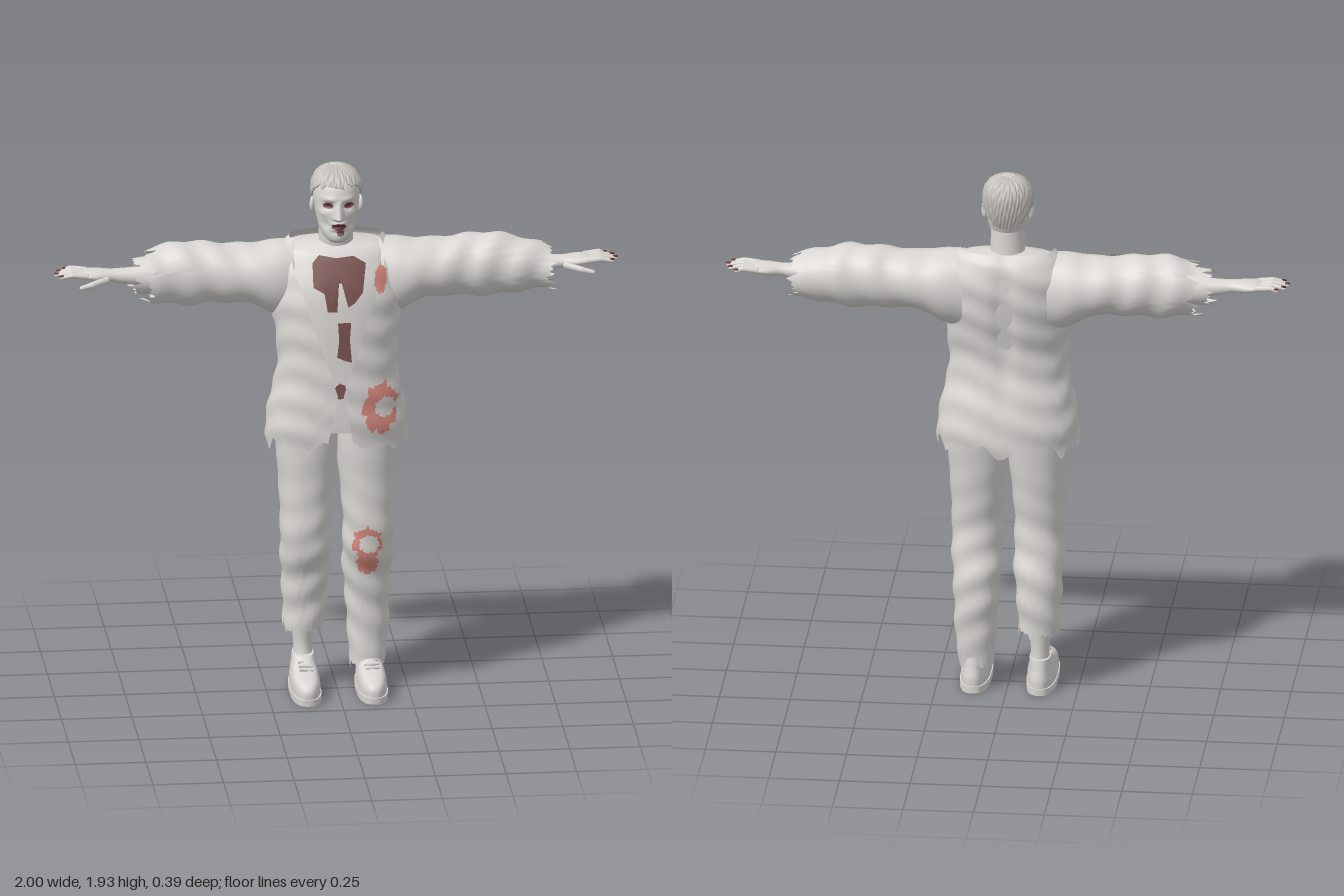
import * as THREE from 'three';

const mat = (name, color) => new THREE.MeshStandardMaterial({ name, color, side: THREE.DoubleSide });

// Smoothly interpolated cross-section; table rows are [y, xMin, xMax, zMin, zMax]
function sectionAt(sec, y) {
  const last = sec.length - 1;
  let i = 0;
  while (i < last - 1 && y > sec[i + 1][0]) i++;
  const a = sec[i], b = sec[i + 1], h = b[0] - a[0];
  const t = THREE.MathUtils.clamp((y - a[0]) / h, 0, 1), t2 = t * t, t3 = t2 * t;
  const slope = (k, c) => {
    const p = sec[Math.max(k - 1, 0)], q = sec[Math.min(k + 1, last)];
    return (q[c] - p[c]) / (q[0] - p[0]);
  };
  const v = [1, 2, 3, 4].map(c => (2 * t3 - 3 * t2 + 1) * a[c] + (t3 - 2 * t2 + t) * h * slope(i, c)
    + (3 * t2 - 2 * t3) * b[c] + (t3 - t2) * h * slope(i + 1, c));
  return { cx: (v[0] + v[1]) / 2, rx: Math.max((v[1] - v[0]) / 2, 0.001),
    cz: (v[2] + v[3]) / 2, rz: Math.max((v[3] - v[2]) / 2, 0.001) };
}

// Point on a body surface; angle 0 faces the front, a quarter turn faces +x
function surfacePoint(body, a, y, extra = 0) {
  const s = sectionAt(body.sec, y), e = body.e || 1;
  const pw = v => Math.sign(v) * Math.abs(v) ** e;
  const d = extra + (body.bulge ? body.bulge(a, y) : 0);
  return [s.cx + s.rx * pw(Math.sin(a)) + d * Math.sin(a), y, s.cz + s.rz * pw(Math.cos(a)) + d * Math.cos(a)];
}

function meshFrom(pos, index) {
  const g = new THREE.BufferGeometry();
  g.setAttribute('position', new THREE.Float32BufferAttribute(pos, 3));
  g.setIndex(index);
  g.computeVertexNormals();
  return g;
}

// Skin of a body between two (possibly ragged) ends, with an optional front opening
function loft(body, { n = 48, rows = 40, from = () => body.sec[0][0], to = () => body.sec.at(-1)[0], gap, cap } = {}) {
  const pos = [], index = [], cols = gap ? n + 1 : n;
  for (let i = 0; i <= rows; i++) for (let j = 0; j < cols; j++) {
    let a = j / n * Math.PI * 2;
    const y = THREE.MathUtils.lerp(from(a), to(a), i / rows);
    if (gap) { const g = gap(y); a = g + j / n * (Math.PI * 2 - 2 * g); }
    pos.push(...surfacePoint(body, a, y));
  }
  for (let i = 0; i < rows; i++) for (let j = 0; j < n; j++) {
    const k = gap ? j + 1 : (j + 1) % n, a = i * cols + j, b = i * cols + k;
    index.push(a, b, b + cols, a, b + cols, a + cols);
  }
  if (cap) for (const i of [0, rows]) {
    const start = pos.length / 3, c = [0, 0, 0];
    for (let j = 0; j < cols; j++) for (let k = 0; k < 3; k++) {
      const v = pos[(i * cols + j) * 3 + k];
      pos.push(v);
      c[k] += v / cols;
    }
    pos.push(...c);
    for (let j = 0; j < n; j++) {
      const p = start + j, q = start + (j + 1) % n;
      index.push(...(i ? [p, q, start + cols] : [q, p, start + cols]));
    }
  }
  return meshFrom(pos, index);
}

// Thin patch lying on the front of a body, as a fan from [cx, cy] to its outline
function patch(body, [cx, cy], outline, lift = 0.004) {
  const pos = [], index = [], n = outline.length, rings = 6, e = body.e || 1;
  for (let k = 0; k <= rings; k++) for (const [ox, oy] of outline) {
    const x = cx + (ox - cx) * k / rings, y = cy + (oy - cy) * k / rings;
    const s = sectionAt(body.sec, y), u = THREE.MathUtils.clamp((x - s.cx) / s.rx, -1, 1);
    pos.push(...surfacePoint(body, Math.asin(Math.sign(u) * Math.abs(u) ** (1 / e)), y, lift));
  }
  for (let k = 0; k < rings; k++) for (let j = 0; j < n; j++) {
    const a = k * n + j, b = k * n + (j + 1) % n;
    index.push(a, a + n, b + n, a, b + n, b);
  }
  return meshFrom(pos, index);
}

const rag = (a, amp, seed) => amp * (Math.sin(7 * a + seed) + Math.sin(13 * a + seed * 2) + Math.sin(19 * a + seed * 3)) / 2;

function blob(body, cx, cy, rx, ry, seed, rough, lift) {
  const pts = Array.from({ length: 40 }, (_, i) => {
    const a = i / 40 * Math.PI * 2, r = 1 + rag(a, rough, seed);
    return [cx + rx * r * Math.cos(a), cy + ry * r * Math.sin(a)];
  });
  return patch(body, [cx, cy], pts, lift);
}

// Rounded, tapered rod from p to q
function rod(p, q, r1, r2) {
  const a = new THREE.Vector3(...p), d = new THREE.Vector3(...q).sub(a), len = d.length(), pts = [];
  for (let k = 0; k <= 5; k++) { const t = k / 5 * Math.PI / 2; pts.push(new THREE.Vector2(r1 * Math.sin(t), -r1 * Math.cos(t))); }
  for (let k = 0; k <= 5; k++) { const t = k / 5 * Math.PI / 2; pts.push(new THREE.Vector2(r2 * Math.cos(t), len + r2 * Math.sin(t))); }
  const g = new THREE.LatheGeometry(pts, 12);
  g.applyQuaternion(new THREE.Quaternion().setFromUnitVectors(new THREE.Vector3(0, 1, 0), d.normalize()));
  return g.translate(a.x, a.y, a.z);
}

function mirrorX(g) {
  g.scale(-1, 1, 1);
  const ix = g.index.array;
  for (let i = 0; i < ix.length; i += 3) [ix[i], ix[i + 2]] = [ix[i + 2], ix[i]];
  g.computeVertexNormals();
  return g;
}

export function createModel() {
  const root = new THREE.Group();
  const cloth = mat('cloth', 0xd9d6d3), skin = mat('skin', 0xd9d6d2), hairMat = mat('hair', 0xc2beba);
  const dark = mat('driedBlood', 0x7a5350), red = mat('freshBlood', 0xd88a7e), deep = mat('darkRed', 0x5c2c2a);
  const add = (name, geo, m, side = 1) => {
    const mesh = new THREE.Mesh(side < 0 ? mirrorX(geo) : geo, m);
    mesh.name = name;
    root.add(mesh);
  };
  const bump = (x, cx, w) => Math.exp(-(((x - cx) / w) ** 2));

  // Torso: open coat over a shirt
  const sec = [[0.88, 0.25, 0.135, -0.185], [1, 0.25, 0.145, -0.19], [1.1, 0.233, 0.142, -0.175], [1.2, 0.212, 0.136, -0.152],
    [1.3, 0.213, 0.132, -0.15], [1.4, 0.226, 0.127, -0.17], [1.5, 0.232, 0.113, -0.185], [1.58, 0.222, 0.08, -0.185],
    [1.64, 0.19, 0.04, -0.168], [1.668, 0.165, 0.012, -0.14]].map(([y, r, f, b]) => [y, -r, r, b, f]);
  const coat = { sec, e: 0.88, bulge: (a, y) => 0.003 * Math.sin(y * 55 + 3 * Math.sin(2 * a))
    - 0.016 * bump(a, Math.PI, 0.14) * bump(y, 1.42, 0.25) };
  const shirt = { sec: [...sec.slice(0, -1), [1.66, -0.06, 0.06, -0.1, 0]], e: 0.88, bulge: () => -0.012 };
  const gap = y => {
    const s = sectionAt(sec, y);
    const g = y > 1.13 ? 0.01 + 0.155 * Math.min((y - 1.13) / 0.47, 1) : 0.01 + (1.13 - y) * 0.2;
    return Math.asin(Math.min(g / s.rx, 0.9) ** (1 / 0.88));
  };
  add('coat', loft(coat, { n: 96, rows: 70, from: a => 0.935 + rag(a, 0.022, 1), gap }), cloth);
  add('shirt', loft(shirt, { from: () => 0.99 }), cloth);
  add('shirtBloodStain', patch(shirt, [0, 1.575], [[-0.095, 1.52], [-0.055, 1.5], [-0.045, 1.435], [-0.01, 1.435],
    [-0.002, 1.535], [0.008, 1.535], [0.03, 1.45], [0.055, 1.465], [0.085, 1.5], [0.1, 1.595], [0.055, 1.62],
    [-0.01, 1.615], [-0.07, 1.625], [-0.095, 1.6]]), dark);
  add('shirtBloodStrip', patch(shirt, [0.015, 1.33], [[-0.012, 1.27], [0.02, 1.255], [0.042, 1.25], [0.035, 1.33],
    [0.04, 1.395], [-0.008, 1.395], [-0.004, 1.33]]), dark);
  add('shirtBloodSpot', blob(shirt, 0, 1.145, 0.022, 0.028, 2, 0.1, 0.005), dark);
  add('chestStain', blob(coat, 0.145, 1.54, 0.022, 0.048, 3, 0.12), red);
  add('hipStain', blob(coat, 0.14, 1.075, 0.062, 0.09, 5, 0.16), red);
  add('hipTear', blob(coat, 0.155, 1.08, 0.036, 0.036, 2, 0.15, 0.008), skin);

  // Head with sculpted face
  const head = { sec: [[1.672, 0.03, 0.055, -0.03], [1.685, 0.045, 0.07, -0.055], [1.71, 0.06, 0.074, -0.075], [1.745, 0.07, 0.073, -0.095],
    [1.79, 0.078, 0.073, -0.115], [1.83, 0.082, 0.072, -0.125], [1.87, 0.081, 0.063, -0.125], [1.9, 0.07, 0.042, -0.112],
    [1.922, 0.05, 0.012, -0.088], [1.935, 0.022, -0.018, -0.058]].map(([y, r, f, b]) => [y, -r, r, b, f]),
    bulge: (a, y) => {
      if (Math.cos(a) < 0) return 0;
      const x = 0.08 * Math.sin(a), ax = Math.abs(x);
      const nose = y > 1.768 ? Math.max(0, 1 - (y - 1.768) / 0.065) : Math.max(0, 1 - (1.768 - y) / 0.012);
      return 0.029 * nose * bump(x, 0, 0.008 + 0.007 * nose) - 0.012 * bump(ax, 0.034, 0.017) * bump(y, 1.813, 0.013)
        + 0.005 * bump(y, 1.837, 0.01) * bump(ax, 0.03, 0.025) + 0.004 * bump(ax, 0.055, 0.015) * bump(y, 1.783, 0.013)
        - 0.006 * bump(ax, 0.052, 0.015) * bump(y, 1.74, 0.018) + 0.006 * bump(x, 0, 0.025) * (bump(y, 1.749, 0.006) + bump(y, 1.73, 0.006))
        - 0.005 * bump(y, 1.715, 0.006) * bump(x, 0, 0.03);
    } };
  add('head', loft(head, { n: 120, rows: 90, cap: true }), skin);
  add('neck', loft({ sec: [[1.58, -0.075, 0.075, -0.12, 0.005], [1.65, -0.062, 0.062, -0.105, 0.015], [1.74, -0.06, 0.06, -0.1, 0.03]] }, { rows: 12 }), skin);
  const hairShell = { sec: head.sec, bulge: (a, y) => 0.006 + 0.0025 * Math.sin(23 * a + 60 * y) + 0.002 * Math.sin(41 * a - 90 * y) };
  add('hair', loft(hairShell, { n: 140, rows: 30, cap: true,
    from: a => { const c = Math.cos(a); return (c > 0 ? 1.835 + 0.045 * Math.min(1, c * 1.6) : 1.835 + 0.08 * c) + rag(a, 0.006, 4); } }), hairMat);
  add('mouth', blob(head, 0, 1.739, 0.025, 0.011, 2, 0.12, 0.003), deep);
  add('chinBlood', blob(head, 0.006, 1.715, 0.014, 0.012, 6, 0.2, 0.002), dark);
  for (const s of [1, -1]) {
    add('eyeRim', blob(head, s * 0.037, 1.813, 0.018, 0.011, 1, 0.08, 0.003), dark);
    add('eye', blob(head, s * 0.037, 1.813, 0.01, 0.006, 1, 0, 0.005), deep);
    const ear = new THREE.SphereGeometry(1, 16, 12).scale(0.01, 0.03, 0.018).rotateY(0.35).translate(0.084, 1.795, -0.025);
    add('ear', ear, skin, s);
  }

  // Arms held out sideways; rows are [x, yTop, yBottom, zBack, zFront]
  const along = rows => rows.map(([x, t, b, zb, zf]) => [x, -t, -b, zb, zf]);
  const sleeve = { sec: along([[0.15, 1.655, 1.37, -0.165, 0.05], [0.22, 1.653, 1.385, -0.175, 0.065], [0.3, 1.642, 1.428, -0.172, 0.062],
    [0.42, 1.648, 1.435, -0.16, 0.05], [0.54, 1.657, 1.43, -0.155, 0.046], [0.63, 1.642, 1.44, -0.15, 0.045],
    [0.71, 1.62, 1.452, -0.135, 0.042], [0.8, 1.595, 1.45, -0.12, 0.045]]),
    bulge: (a, t) => 0.0045 * Math.sin(t * 48 + 2.5 * Math.sin(a + 1)) * Math.min(1, Math.max(0, t - 0.2) * 4) };
  const cuff = { sec: along([[0.55, 1.62, 1.465, -0.125, 0.035], [0.66, 1.61, 1.475, -0.115, 0.03], [0.8, 1.595, 1.485, -0.105, 0.02]]) };
  const palm = { sec: along([[0.55, 1.58, 1.5, -0.085, 0], [0.74, 1.572, 1.512, -0.075, -0.01], [0.8, 1.57, 1.525, -0.072, -0.01],
    [0.85, 1.572, 1.53, -0.09, 0.004], [0.89, 1.569, 1.54, -0.092, 0.003], [0.905, 1.562, 1.547, -0.085, -0.004]]) };
  const turn = g => g.rotateZ(-Math.PI / 2);
  const fingers = [[-0.082, -0.094, 0.955], [-0.057, -0.066, 0.98], [-0.031, -0.034, 0.99], [-0.007, -0.002, 0.975]];
  for (const s of [1, -1]) {
    const end = s > 0 ? 0.755 : 0.665;
    add('sleeve', turn(loft(sleeve, { n: 72, rows: 70, to: a => end + rag(a, 0.02, s + 3) })), cloth, s);
    add('innerCuff', turn(loft(cuff, { n: 60, rows: 12, to: a => (s > 0 ? 0.745 : 0.715) + rag(a, 0.018, s + 6) })), cloth, s);
    add('forearmAndPalm', turn(loft(palm, { n: 32, cap: true })), skin, s);
    for (const [z0, z1, tip] of fingers) {
      const knuckle = [0.935, 1.562, (z0 + z1) / 2];
      add('finger', rod([0.885, 1.556, z0], knuckle, 0.0115, 0.01), skin, s);
      add('fingertip', rod(knuckle, [tip, 1.555, z1], 0.01, 0.007), skin, s);
      add('fingernail', new THREE.SphereGeometry(1, 10, 8).scale(0.011, 0.004, 0.006).translate(tip - 0.002, 1.561, z1), deep, s);
    }
    add('thumb', rod([0.815, 1.54, -0.012], [0.865, 1.53, 0.012], 0.014, 0.011), skin, s);
    add('thumbTip', rod([0.865, 1.53, 0.012], [0.905, 1.522, 0.02], 0.011, 0.008), skin, s);
  }
  add('sleeveTear', turn(blob(sleeve, -1.597, 0.37, 0.038, 0.036, 4, 0.15, 0.006)), skin, -1);

  // Trousers, ankles and shoes
  const trouser = { sec: [[0.06, 0.05, 0.168, -0.105, 0.028], [0.22, 0.04, 0.186, -0.12, 0.03], [0.35, 0.032, 0.19, -0.13, 0.042],
    [0.45, 0.022, 0.196, -0.124, 0.062], [0.54, 0.02, 0.201, -0.105, 0.095], [0.62, 0.022, 0.201, -0.1, 0.103], [0.78, 0.01, 0.207, -0.12, 0.105],
    [0.9, -0.003, 0.215, -0.135, 0.112], [1.04, -0.005, 0.222, -0.15, 0.118]],
    e: 0.92, bulge: (a, y) => 0.004 * Math.sin(y * 50 + 2.5 * Math.sin(a + 0.6)) * bump(y, 0.42, 0.3) };
  const ankle = { sec: [[0.08, 0.078, 0.15, -0.1, 0.0], [0.16, 0.083, 0.15, -0.095, -0.015], [0.3, 0.065, 0.165, -0.11, 0.01]] };
  const sole = { sec: [[0, 0.063, 0.172, -0.13, 0.198], [0.024, 0.063, 0.172, -0.13, 0.2]], e: 0.75 };
  const upper = { sec: [[0.022, 0.066, 0.169, -0.126, 0.195], [0.05, 0.066, 0.169, -0.126, 0.193], [0.07, 0.069, 0.166, -0.122, 0.175],
    [0.085, 0.073, 0.162, -0.118, 0.13], [0.1, 0.076, 0.158, -0.115, 0.06], [0.125, 0.079, 0.154, -0.11, 0.012]], e: 0.82 };
  for (const s of [1, -1]) {
    add('trouserLeg', loft(trouser, { n: 72, rows: 80, from: a => s > 0 ? 0.085 + rag(a, 0.012, 2) : 0.225 + rag(a, 0.018, 5) }), cloth, s);
    add('ankle', loft(ankle, { rows: 12 }), skin, s);
    add('shoeSole', loft(sole, { rows: 2, cap: true }), cloth, s);
    add('shoeUpper', loft(upper, { rows: 20, cap: true }), cloth, s);
    for (let i = 0; i < 3; i++) {
      const z = 0.03 + i * 0.025, y = 0.11 - i * 0.006;
      add('shoelace', rod([0.095, y - 0.004, z], [0.138, y, z + 0.004], 0.004, 0.004), hairMat, s);
    }
  }
  add('kneeStain', blob(trouser, 0.1, 0.565, 0.05, 0.06, 3, 0.16), red);
  add('lowerKneeStain', blob(trouser, 0.1, 0.485, 0.036, 0.045, 6, 0.14, 0.005), red);
  add('kneeTear', blob(trouser, 0.105, 0.565, 0.033, 0.034, 2, 0.15, 0.008), skin);
  return root;
}
